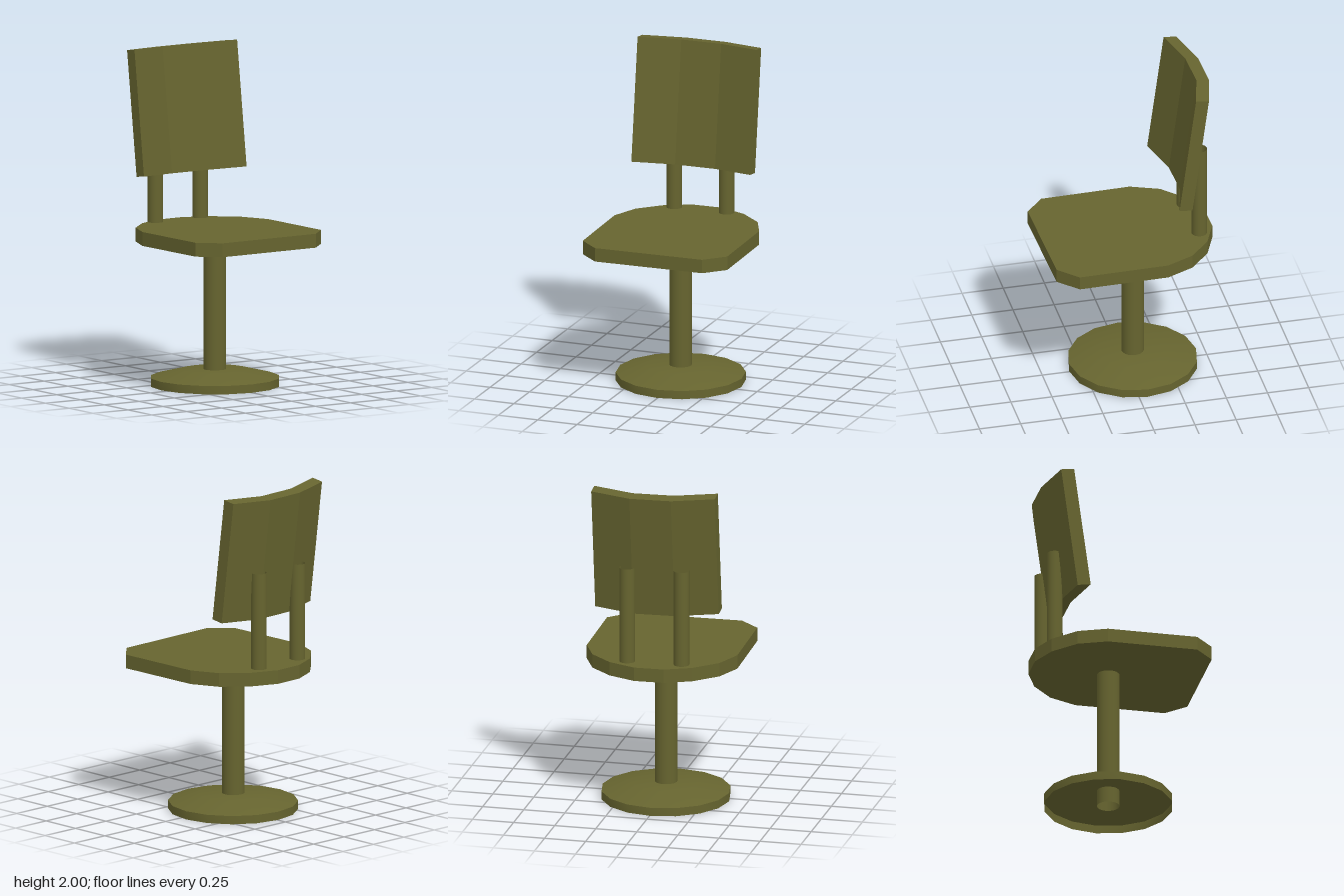
import * as THREE from 'three';
import { toCreasedNormals } from 'three/addons/utils/BufferGeometryUtils.js';

export function createModel() {
  const model = new THREE.Group();
  model.name = 'chair';
  const olive = new THREE.MeshStandardMaterial({ color: 0x66642f, side: THREE.DoubleSide });
  olive.name = 'olive';

  const add = (name, geometry, x = 0, y = 0, z = 0) => {
    const mesh = new THREE.Mesh(geometry, olive);
    mesh.name = name;
    mesh.position.set(x, y, z);
    model.add(mesh);
  };
  // Upright slab from a plan outline of [x, z] points
  const slab = (outline, height) => {
    const shape = new THREE.Shape(outline.map(([x, z]) => new THREE.Vector2(x, -z)));
    return new THREE.ExtrudeGeometry(shape, { depth: height, bevelEnabled: false }).rotateX(-Math.PI / 2);
  };
  // Open-ended tube standing between two heights
  const tube = (name, r, x, z, y0, y1) =>
    add(name, new THREE.CylinderGeometry(r, r, y1 - y0, 20, 1, true), x, (y0 + y1) / 2, z);

  // Hollow dished foot, open underneath
  const profile = [[0.385, 0], [0.385, 0.05], [0.2, 0.096], [0, 0.098]];
  const foot = new THREE.LatheGeometry(profile.map(([r, y]) => new THREE.Vector2(r, y)), 16);
  add('base', toCreasedNormals(foot, 0.5), -0.005, 0, -0.05);
  tube('post', 0.067, -0.006, -0.05, 0, 0.855);

  // Seat with cut front corners and a rounded back
  add('seat', slab([
    [-0.33, 0.51], [0.345, 0.495], [0.46, 0.38], [0.45, -0.16], [0.375, -0.325], [0.24, -0.447],
    [0.075, -0.515], [-0.105, -0.51], [-0.26, -0.44], [-0.395, -0.31], [-0.462, -0.14], [-0.45, 0.4],
  ], 0.083), 0, 0.858, 0);

  // Two supports rising into the backrest
  tube('rightBackSupport', 0.046, -0.188, -0.408, 0.947, 1.53);
  tube('leftBackSupport', 0.046, 0.14, -0.42, 0.947, 1.53);

  // Curved backrest: bent slab leaned backwards
  const front = [[-0.39, -0.23], [-0.14, -0.302], [0.11, -0.31], [0.357, -0.25]];
  const rear = front.map(([x, z]) => [x, z - 0.078]).reverse();
  const back = slab([...front, ...rear], 0.745);
  const lean = 0.134, p = back.attributes.position;
  for (let i = 0; i < p.count; i++) {
    const h = p.getY(i), z = p.getZ(i);
    p.setY(i, 1.255 + h + lean * (z + 0.23));
    p.setZ(i, z - lean * h);
  }
  back.computeVertexNormals();
  add('backrest', back);

  return model;
}
